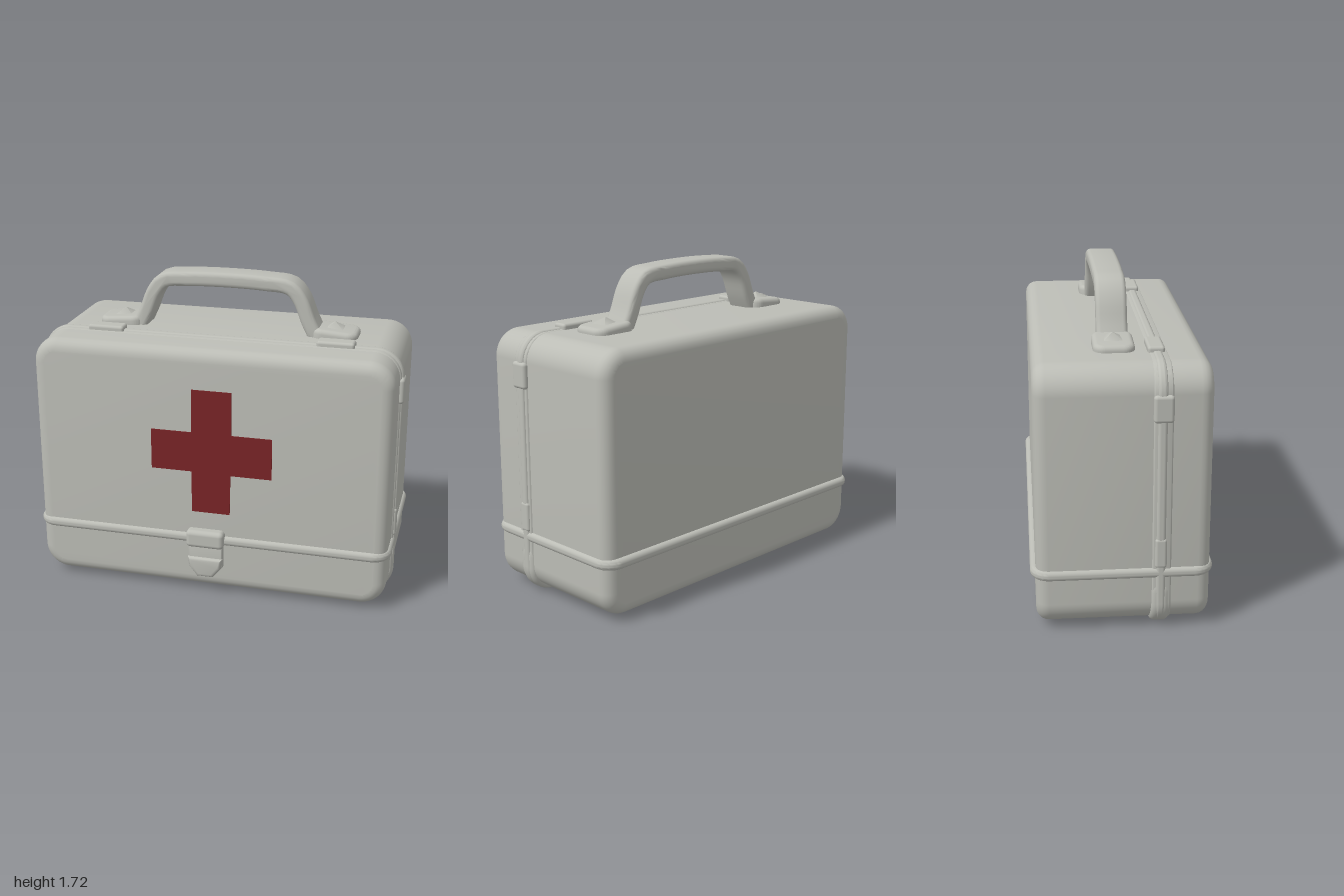
import * as THREE from 'three';
import { toCreasedNormals } from 'three/addons/utils/BufferGeometryUtils.js';
import { RoundedBoxGeometry } from 'three/addons/geometries/RoundedBoxGeometry.js';

const shell = new THREE.MeshStandardMaterial({ color: 0xbcbdb6 });
shell.name = 'greyShell';
const red = new THREE.MeshStandardMaterial({ color: 0x782426 });
red.name = 'darkRed';

function roundedRect(w, h, r) {
  const s = new THREE.Shape(), x = w / 2, y = h / 2, q = Math.PI / 2;
  s.absarc(x - r, y - r, r, 0, q);
  s.absarc(-x + r, y - r, r, q, 2 * q);
  s.absarc(-x + r, -y + r, r, 2 * q, 3 * q);
  s.absarc(x - r, -y + r, r, 3 * q, 4 * q);
  s.closePath();
  return s;
}

// Rounded slab centred on the origin, w by h by d, with corner radius r and edge bevel b
function slab(w, h, d, r, b) {
  const g = new THREE.ExtrudeGeometry(roundedRect(w - 2 * b, h - 2 * b, Math.max(r - b, 0.005)), {
    depth: d - 2 * b, bevelEnabled: true, bevelSize: b, bevelThickness: b, bevelSegments: 5, curveSegments: 8,
  });
  g.translate(0, 0, -(d - 2 * b) / 2);
  return toCreasedNormals(g, 0.7);
}

function extrudeFlat(points, depth, bevel) {
  const g = new THREE.ExtrudeGeometry(new THREE.Shape(points.map(p => new THREE.Vector2(p[0], p[1]))), {
    depth: depth - 2 * bevel, bevelEnabled: bevel > 0, bevelSize: bevel, bevelThickness: bevel, bevelSegments: 4,
  });
  g.translate(0, 0, bevel);
  return toCreasedNormals(g, 0.7);
}

export function createModel() {
  const group = new THREE.Group();
  const add = (name, geometry, x, y, z, material = shell) => {
    const m = new THREE.Mesh(geometry, material);
    m.name = name;
    m.position.set(x, y, z);
    group.add(m);
    return m;
  };

  // Case body
  add('caseBody', slab(1.95, 1.375, 0.88, 0.14, 0.065), 0, 0.7175, -0.01);

  // Upright seam where the front and back shells meet, with a wider lower band
  add('shellSeam', slab(1.985, 1.405, 0.05, 0.15, 0.018), 0, 0.7125, 0.175);
  add('seamInnerBand', slab(1.965, 1.39, 0.10, 0.145, 0.015), 0, 0.7125, 0.18);
  add('lowerSeamBand', slab(1.975, 0.36, 0.10, 0.15, 0.03), 0, 0.185, 0.175);

  // Raised horizontal rib around the case
  add('horizontalRib', slab(1.985, 0.925, 0.055, 0.1, 0.024), 0, 0.33, -0.015).rotation.x = -Math.PI / 2;

  // Seam clips on the top and sides
  for (const s of [-1, 1]) {
    add('topClip', new RoundedBoxGeometry(0.2, 0.05, 0.085, 3, 0.015), s * 0.63, 1.41, 0.17);
    add('upperSideClip', new RoundedBoxGeometry(0.05, 0.14, 0.1, 3, 0.018), s * 0.975, 1.2, 0.18);
    add('lowerSideClip', new RoundedBoxGeometry(0.04, 0.16, 0.06, 3, 0.015), s * 0.975, 0.44, 0.175);
  }

  // Carrying handle: a bent bar outlined on both sides of its centre line
  const line = new THREE.CatmullRomCurve3([
    [-0.49, 1.41], [-0.455, 1.48], [-0.405, 1.6], [-0.35, 1.66], [-0.22, 1.676], [0, 1.682],
    [0.22, 1.676], [0.35, 1.66], [0.405, 1.6], [0.455, 1.48], [0.49, 1.41],
  ].map(p => new THREE.Vector3(p[0], p[1], 0)));
  const bevel = 0.024, half = 0.04 - bevel, outer = [], inner = [];
  for (let i = 0; i <= 40; i++) {
    const p = line.getPointAt(i / 40), t = line.getTangentAt(i / 40);
    outer.push([p.x - t.y * half, p.y + t.x * half]);
    inner.unshift([p.x + t.y * half, p.y - t.x * half]);
  }
  add('handle', extrudeFlat([...outer, ...inner], 0.16, bevel), 0, 0, -0.11);

  // Handle mounts with a small raised stud
  for (const s of [-1, 1]) {
    const mount = add('handleMount', slab(0.25, 0.21, 0.09, 0.06, 0.025), s * 0.595, 1.402, -0.035);
    mount.rotation.set(-Math.PI / 2, s * 0.08, 0);
    const stud = add('mountStud', new THREE.ConeGeometry(0.07, 0.035, 4), s * 0.59, 1.46, -0.035);
    stud.rotation.y = Math.PI / 4;
  }

  // Front latch: hooked cap, tongue and thumb piece
  add('latchCap', new RoundedBoxGeometry(0.21, 0.1, 0.085, 4, 0.025), -0.01, 0.34, 0.44);
  add('latchTongue', extrudeFlat([
    [-0.085, 0.3], [-0.085, 0.18], [-0.04, 0.125], [0.04, 0.125], [0.085, 0.18], [0.085, 0.3],
  ], 0.06, 0.012), -0.01, 0, 0.4);
  add('latchThumbPiece', extrudeFlat([
    [-0.075, 0.21], [-0.07, 0.18], [-0.035, 0.135], [0.035, 0.135], [0.07, 0.18], [0.075, 0.21],
  ], 0.08, 0.02), -0.01, 0, 0.4);

  // Painted cross on the front
  add('frontCross', extrudeFlat([
    [-0.088, 0.49], [0.122, 0.49], [0.126, 0.72], [0.35, 0.72], [0.35, 0.95], [0.13, 0.95],
    [0.13, 1.19], [-0.086, 1.19], [-0.088, 0.95], [-0.312, 0.95], [-0.312, 0.725], [-0.09, 0.725],
  ], 0.006, 0), 0, 0, 0.428, red);

  return group;
}
